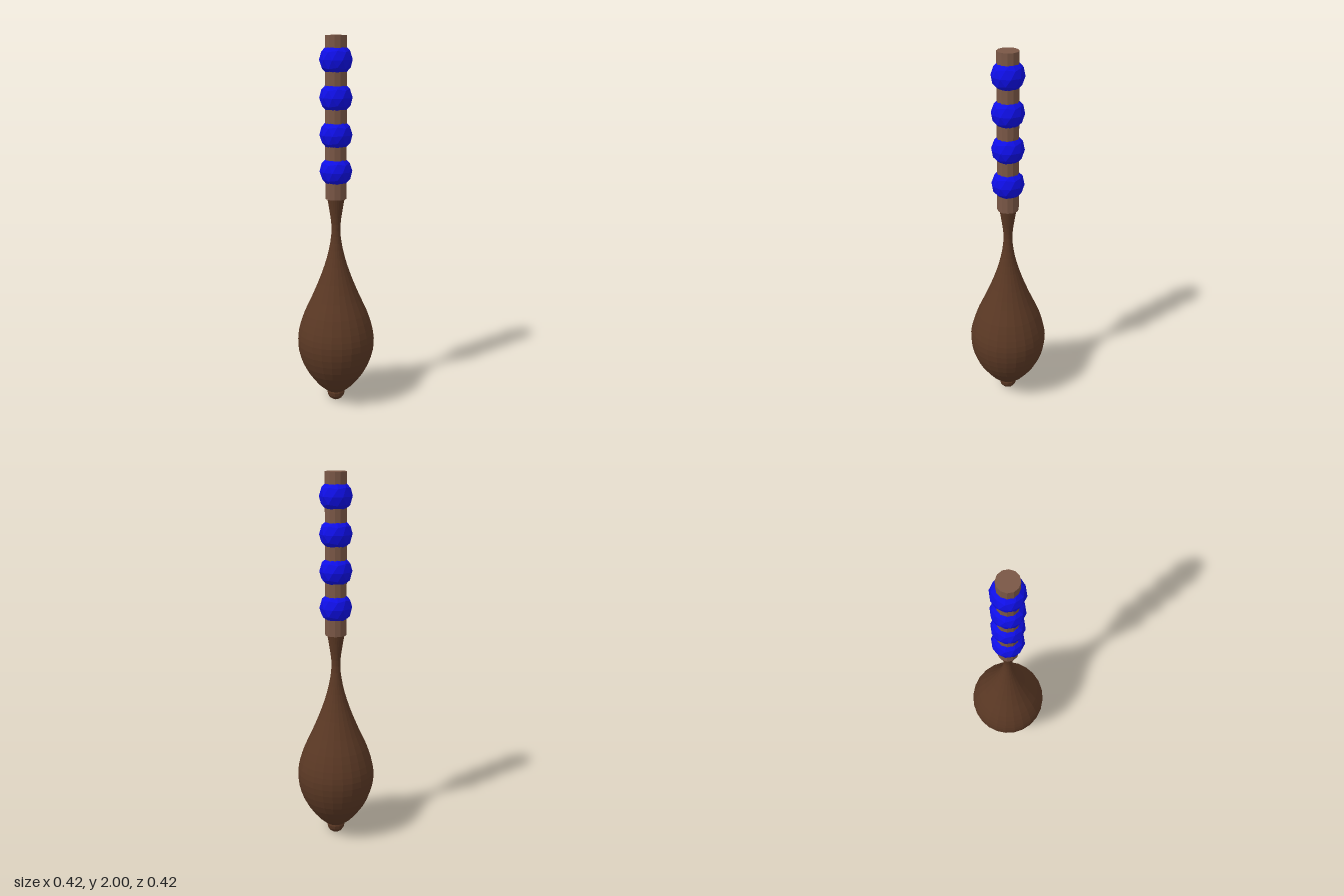
import * as THREE from 'three';

// Faceted normals stored in the geometry
function faceted(geometry) {
  const g = geometry.index ? geometry.toNonIndexed() : geometry;
  g.computeVertexNormals();
  return g;
}

export function createModel() {
  const group = new THREE.Group();
  const darkWood = new THREE.MeshStandardMaterial({ color: 0x5a3824 });
  darkWood.name = 'dark wood';
  const lightWood = new THREE.MeshStandardMaterial({ color: 0x7a5746 });
  lightWood.name = 'light wood';
  const blue = new THREE.MeshStandardMaterial({ color: 0x0f0fea });
  blue.name = 'blue bead';

  function add(name, geometry, material, y = 0) {
    const mesh = new THREE.Mesh(faceted(geometry), material);
    mesh.name = name;
    mesh.position.y = y;
    group.add(mesh);
  }

  // Bulb with its narrow flared neck, turned from a smooth profile
  const profile = new THREE.SplineCurve([
    [0.05, 0.06], [0.098, 0.1], [0.165, 0.19], [0.2, 0.28], [0.21, 0.36],
    [0.2, 0.43], [0.172, 0.515], [0.133, 0.6], [0.091, 0.7], [0.056, 0.8],
    [0.034, 0.89], [0.024, 0.97], [0.028, 1.04], [0.046, 1.15],
  ].map(([r, y]) => new THREE.Vector2(r, y)));
  const outline = [new THREE.Vector2(0, 0.06), ...profile.getPoints(28)];
  add('bulb', new THREE.LatheGeometry(outline, 24), darkWood);

  // Small round tip under the bulb
  add('tip', new THREE.SphereGeometry(0.049, 12, 8), darkWood, 0.049);

  // Straight shaft above the neck
  add('shaft', new THREE.CylinderGeometry(0.057, 0.057, 0.85, 12), lightWood, 1.575);

  // Four beads threaded on the shaft, each with a vertex straight up
  for (let i = 0; i < 4; i++) {
    const bead = new THREE.IcosahedronGeometry(0.087, 1);
    bead.rotateZ(Math.atan(2 / (1 + Math.sqrt(5))));
    bead.rotateY(Math.PI);
    add('bead' + (i + 1), bead, blue, 1.298 + i * 0.193);
  }
  return group;
}
